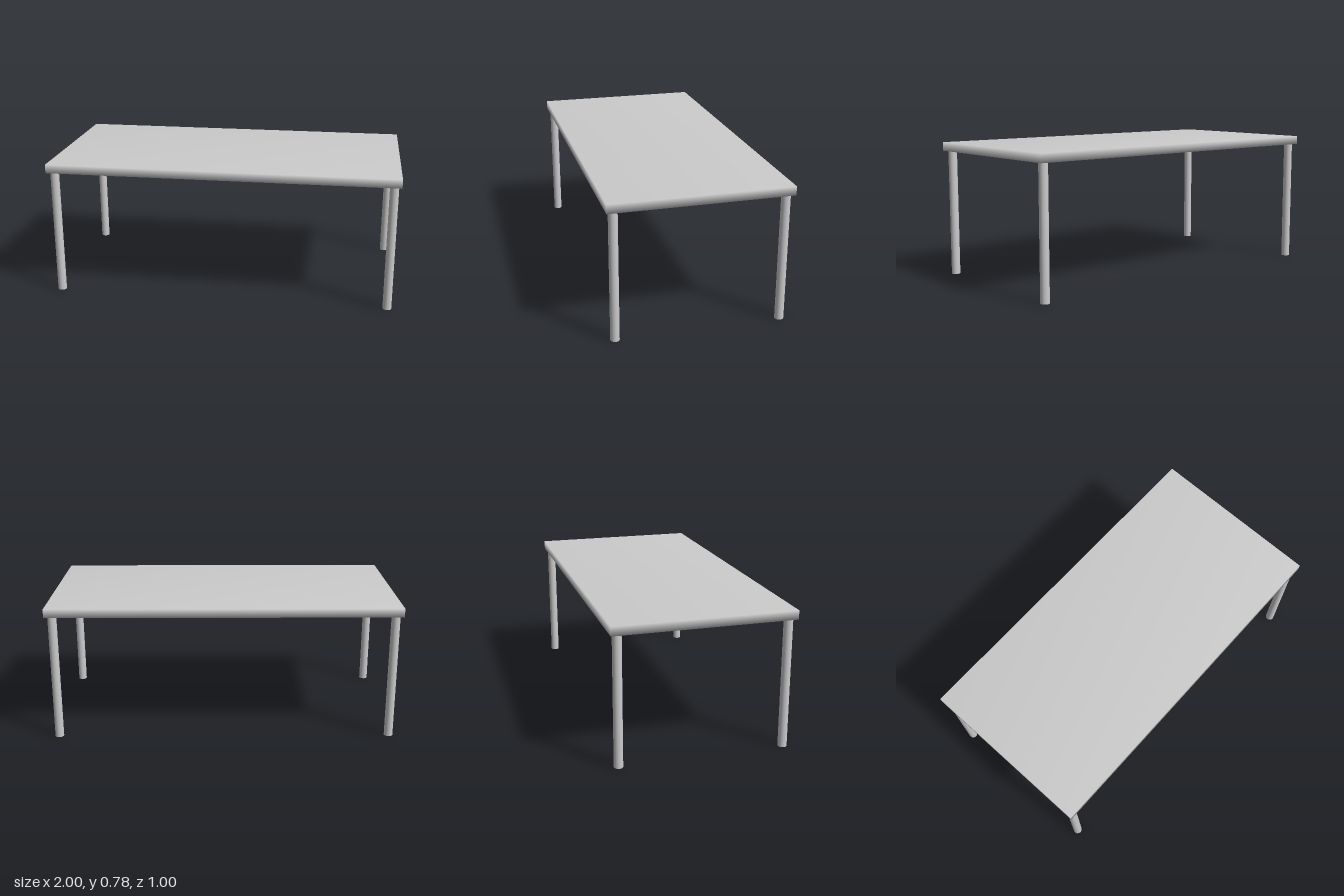
import * as THREE from 'three';
import { mergeVertices } from 'three/addons/utils/BufferGeometryUtils.js';

const TOP = 0.78, THICK = 0.05, LEG_R = 0.025;

export function createModel() {
  const table = new THREE.Group();
  table.name = 'table';
  const material = new THREE.MeshStandardMaterial({ color: 0xcccccc });

  // Thin slab, with shared corners so its shading runs smoothly round the edge
  let slab = new THREE.BoxGeometry(2, THICK, 1);
  slab.deleteAttribute('uv');
  slab.deleteAttribute('normal');
  slab = mergeVertices(slab);
  slab.computeVertexNormals();
  const tabletop = new THREE.Mesh(slab, material);
  tabletop.name = 'tabletop';
  tabletop.position.y = TOP - THICK / 2;
  table.add(tabletop);

  // Four round legs, one near each corner
  const legHeight = TOP - THICK;
  const legGeometry = new THREE.CylinderGeometry(LEG_R, LEG_R, legHeight, 32);
  for (const [endName, z] of [['front', 0.46], ['back', -0.46]]) {
    for (const [sideName, x] of [['Left', 0.96], ['Right', -0.96]]) {
      const leg = new THREE.Mesh(legGeometry, material);
      leg.name = `${endName}${sideName}Leg`;
      leg.position.set(x, legHeight / 2, z);
      table.add(leg);
    }
  }
  return table;
}
